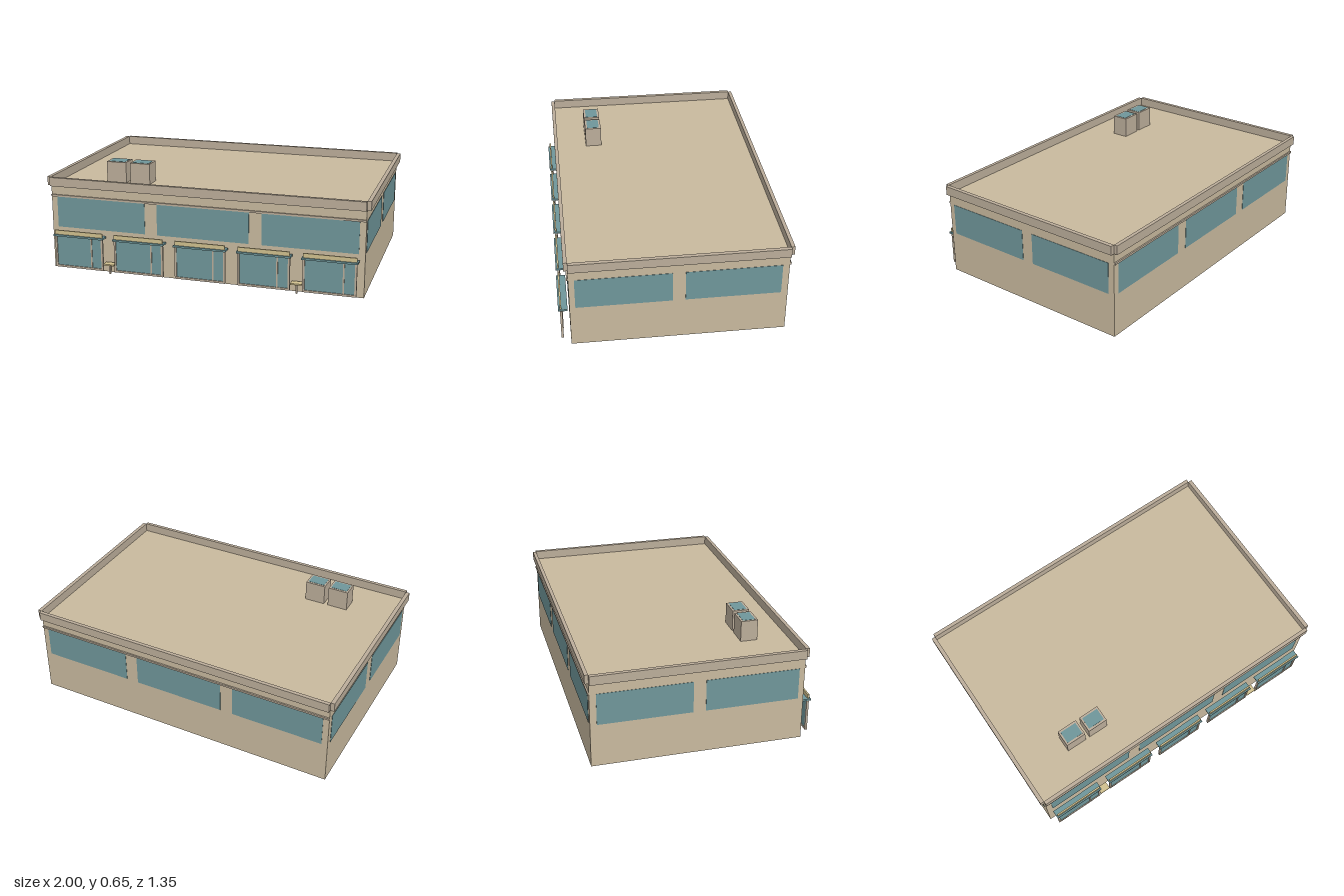
import * as THREE from 'three';

const paint = (color) => new THREE.MeshStandardMaterial({ color });
const wall = paint(0xc8b99e);
const trim = paint(0xbbad9a);
const glass = paint(0x6f969a);
const board = paint(0xd0c08f);

// Box given by its lower and upper limits on each axis
function box(parent, name, mat, x0, x1, y0, y1, z0, z1) {
  const mesh = new THREE.Mesh(new THREE.BoxGeometry(x1 - x0, y1 - y0, z1 - z0), mat);
  mesh.position.set((x0 + x1) / 2, (y0 + y1) / 2, (z0 + z1) / 2);
  mesh.name = name;
  parent.add(mesh);
  return mesh;
}

function group(parent, name, x = 0) {
  const g = new THREE.Group();
  g.name = name;
  g.position.x = x;
  parent.add(g);
  return g;
}

// Shop bay: framed glass, door divider, canopy and sign board
function addShopfront(parent, x) {
  const g = group(parent, 'shopfront', x);
  const w = 0.158, t = 0.012, y0 = 0.02, y1 = 0.22;
  box(g, 'shopGlass', glass, -w + t, w - t, y0 + t, y1, 0.65, 0.655);
  for (const s of [-1, 1]) {
    const c = s * (w - t / 2);
    box(g, 'framePost', trim, c - t / 2, c + t / 2, y0, y1, 0.648, 0.661);
  }
  box(g, 'frameSill', trim, -w + t, w - t, y0, y0 + t, 0.648, 0.661);
  box(g, 'doorDivider', trim, 0.077, 0.086, y0 + t, y1, 0.645, 0.659);
  box(g, 'canopy', glass, -0.164, 0.164, 0.22, 0.231, 0.617, 0.671);
  box(g, 'signBoard', board, -0.157, 0.157, 0.231, 0.257, 0.652, 0.662);
}

// Small bench standing between two shop bays
function addBench(parent, x) {
  const g = group(parent, 'bench', x);
  box(g, 'benchSeat', board, -0.033, 0.033, 0.058, 0.067, 0.618, 0.664);
  box(g, 'benchLeg', trim, -0.005, 0.005, 0, 0.058, 0.635, 0.646);
}

// Rooftop air unit with a glazed top panel
function addRoofUnit(parent, x) {
  const g = group(parent, 'roofUnit', x);
  box(g, 'unitBody', trim, -0.064, 0.064, 0.525, 0.653, 0.315, 0.418);
  box(g, 'unitPanel', glass, -0.053, 0.053, 0.65, 0.6545, 0.328, 0.405);
}

export function createModel() {
  const model = new THREE.Group();
  model.name = 'shopBuilding';
  const X = 0.976, ZF = 0.606, ZB = -0.652, ROOF = 0.525, TOP = 0.58;

  box(model, 'building', wall, -X, X, 0, ROOF, ZB, ZF);

  // Parapet strips around the roof, with open corners
  box(model, 'parapetFront', trim, -X, X, ROOF, TOP, ZF, ZF + 0.022);
  box(model, 'parapetBack', trim, -X, X, ROOF, TOP, ZB - 0.022, ZB);
  box(model, 'parapetRight', trim, -1, -X, ROOF, TOP, ZB, ZF);
  box(model, 'parapetLeft', trim, X, 1, ROOF, TOP, ZB, ZF);

  // Ledges above the front and back windows
  box(model, 'ledgeFront', trim, -X, X, 0.458, 0.47, ZF, ZF + 0.009);
  box(model, 'ledgeBack', trim, -X, X, 0.458, 0.47, ZB - 0.009, ZB);

  // Upper windows, almost flush with the walls
  const e = 0.002;
  for (const x of [-0.652, 0, 0.652]) {
    box(model, 'windowFront', glass, x - 0.287, x + 0.287, 0.264, 0.457, ZF - e, ZF + e);
    box(model, 'windowBack', glass, x - 0.287, x + 0.287, 0.264, 0.457, ZB - e, ZB + e);
  }
  for (const s of [-1, 1]) {
    for (const z of [0.295, -0.335]) {
      box(model, 'windowSide', glass, s * X - e, s * X + e, 0.264, 0.457, z - 0.278, z + 0.278);
    }
  }

  for (let i = -2; i <= 2; i++) addShopfront(model, i * 0.391);
  for (const x of [-0.587, 0.587]) addBench(model, x);
  for (const x of [-0.62, -0.465]) addRoofUnit(model, x);
  return model;
}
